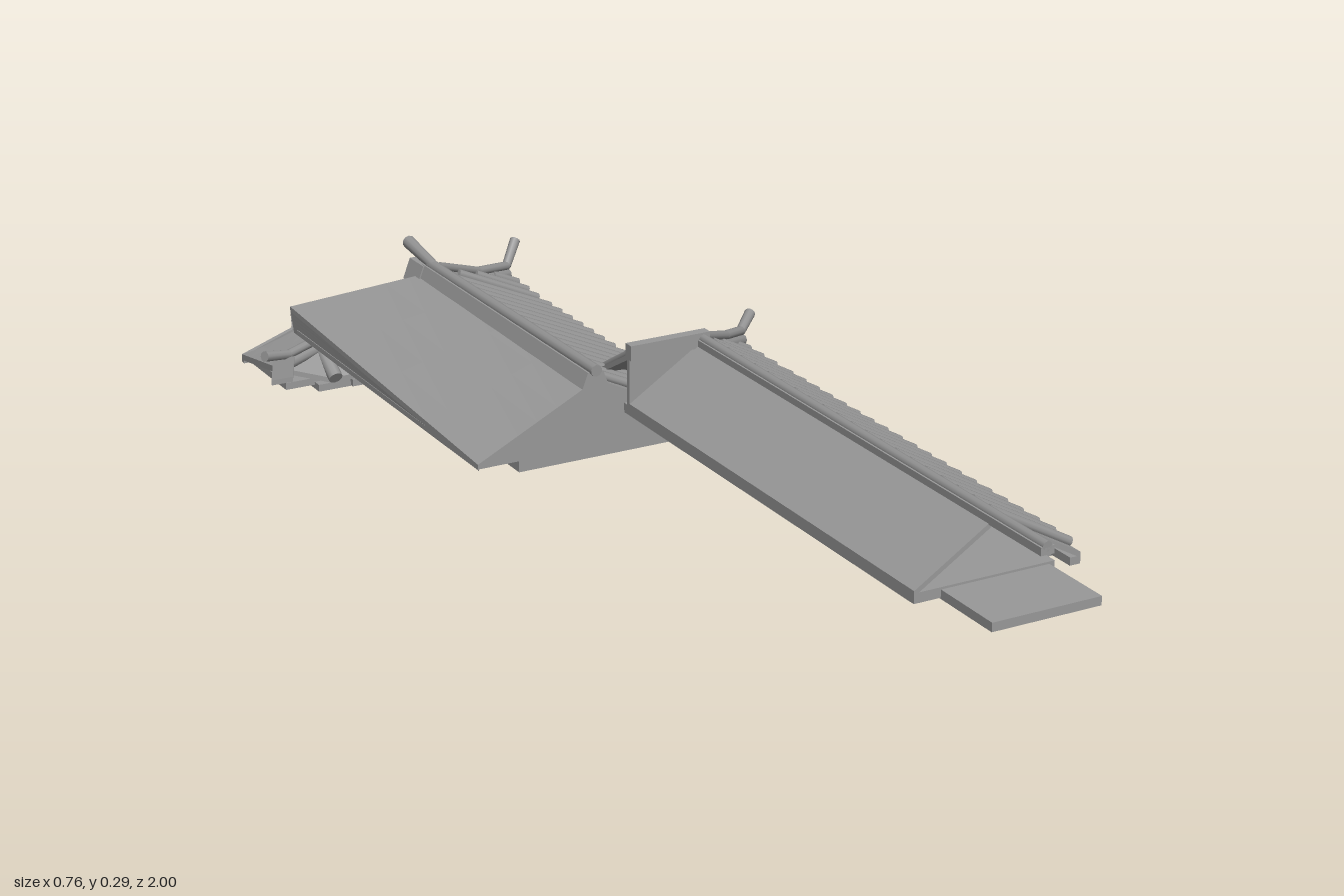
import * as THREE from 'three';

const mat = new THREE.MeshStandardMaterial({ color: 0x999999, side: THREE.DoubleSide, flatShading: true });
const roundMat = new THREE.MeshStandardMaterial({ color: 0x939393 });
const V = (p) => new THREE.Vector3(...p);
const mix = (a, b, t) => a.map((v, i) => v + (b[i] - v) * t);

function add(parent, name, geo, material = mat) {
  const mesh = new THREE.Mesh(geo, material);
  mesh.name = name;
  parent.add(mesh);
  return mesh;
}

// Box given by its lower and upper corners
function box(parent, name, lo, hi) {
  const geo = new THREE.BoxGeometry(...lo.map((v, i) => hi[i] - v));
  geo.translate(...mix(lo, hi, 0.5));
  add(parent, name, geo);
}

// Thin solid panel between a top edge a-b and a lower edge c-d
function panel(parent, name, a, b, c, d, thick = 0.01, sag = 0) {
  const geo = new THREE.BoxGeometry(1, 1, 1, 4, 1, 6);
  const pos = geo.attributes.position;
  for (let i = 0; i < pos.count; i++) {
    const u = pos.getX(i) + 0.5, v = pos.getZ(i) + 0.5;
    const p = mix(mix(a, b, u), mix(c, d, u), v);
    pos.setXYZ(i, p[0], p[1] + (pos.getY(i) - 0.5) * thick - sag * 4 * v * (1 - v), p[2]);
  }
  geo.computeVertexNormals();
  add(parent, name, geo);
}

// Capped round bar from a to b
function bar(parent, name, a, b, r, r2 = r) {
  const dir = V(b).sub(V(a));
  const mesh = add(parent, name, new THREE.CylinderGeometry(r2, r, dir.length(), 10), roundMat);
  mesh.position.copy(V(mix(a, b, 0.5)));
  mesh.quaternion.setFromUnitVectors(new THREE.Vector3(0, 1, 0), dir.normalize());
}

// Tile rows that run from a top line a-b to an eave line c-d
function tiles(parent, n, a, b, c, d, r = 0.009) {
  const rows = new THREE.Group();
  rows.name = 'tileRows';
  for (let i = 0; i < n; i++) {
    const t = (i + 0.5) / n;
    bar(rows, 'tileRow', mix(a, b, t), mix(c, d, t), r);
  }
  parent.add(rows);
}

// Hip ridge: deep beam with a round cap and an upturned horn
function hip(parent, points, horn, r = 0.009) {
  const g = new THREE.Group();
  g.name = 'hipRidge';
  const low = (p) => [p[0], p[1] - 0.018, p[2]];
  for (let i = 0; i < points.length - 1; i++) {
    const [a, b] = [points[i], points[i + 1]];
    bar(g, 'hipCap', a, b, r);
    bar(g, 'hipBeam', low(a), low(b), r * 1.4);
  }
  bar(g, 'horn', points[points.length - 1], horn, r, r * 1.15);
  parent.add(g);
}

// Upright wall with its outline in x and y
function wall(parent, name, outline, z, depth = 0.01) {
  const shape = new THREE.Shape(outline.map((p) => new THREE.Vector2(...p)));
  add(parent, name, new THREE.ExtrudeGeometry(shape, { depth, bevelEnabled: false }));
  parent.children.at(-1).position.z = z;
}

// Eave rail carried by short rafters from the slab edge
function eave(parent, x0, x1, y, z0, z1, n) {
  box(parent, 'eaveRail', [x1 - 0.02, y, z0], [x1, y + 0.014, z1]);
  for (let i = 0; i < n; i++) {
    const z = z1 - 0.06 - i * 0.086;
    box(parent, 'rafter', [x0, y - 0.003, z - 0.008], [x1, y + 0.014, z + 0.008]);
  }
}

// Long front roof: open gable in front, corner turning left at the back
function frontRoof() {
  const g = new THREE.Group();
  g.name = 'frontRoof';
  box(g, 'eaveSlab', [0.02, 0.158, -0.2], [0.285, 0.176, 0.86]);
  box(g, 'frontSlab', [0.07, 0.156, 0.8], [0.275, 0.172, 1]);
  box(g, 'lowerSlab', [0.07, 0.14, -0.21], [0.275, 0.158, 0.05]);
  panel(g, 'leftSlope', [0.165, 0.272, 0.86], [0.165, 0.272, -0.06], [0.02, 0.18, 0.86], [0.02, 0.18, -0.06]);
  const top = [0.17, 0.272, -0.06], corner = [0.335, 0.185, -0.22];
  panel(g, 'rightSlope', [0.17, 0.272, 0.86], top, [0.335, 0.18, 0.86], corner);
  panel(g, 'backSlope', [0.02, 0.272, -0.06], top, [0.02, 0.182, -0.22], corner);
  wall(g, 'backWall', [[0.02, 0.17], [0.17, 0.27], [0.17, 0.29], [0.02, 0.29]], -0.065);
  tiles(g, 20, [0.175, 0.274, 0.85], [0.175, 0.274, -0.05], [0.335, 0.186, 0.85], [0.335, 0.186, -0.05]);
  tiles(g, 3, [0.18, 0.268, -0.06], [0.31, 0.2, -0.19], [0.335, 0.186, -0.06], [0.335, 0.188, -0.2]);
  tiles(g, 3, [0.025, 0.274, -0.07], [0.165, 0.274, -0.07], [0.025, 0.186, -0.22], [0.165, 0.186, -0.22]);
  tiles(g, 3, [0.175, 0.268, -0.07], [0.31, 0.2, -0.19], [0.175, 0.186, -0.22], [0.32, 0.188, -0.22]);
  // Ridges
  box(g, 'ridge', [0.155, 0.264, -0.07], [0.18, 0.278, 1]);
  bar(g, 'ridgeCap', [0.167, 0.278, -0.06], [0.167, 0.278, 1], 0.009);
  box(g, 'sideRidge', [0.02, 0.262, -0.07], [0.18, 0.29, -0.05]);
  hip(g, [[0.17, 0.28, -0.06], [0.27, 0.235, -0.15], [0.335, 0.215, -0.205]], [0.375, 0.232, -0.24]);
  panel(g, 'cornerPlate', [0.325, 0.21, -0.2], [0.352, 0.21, -0.222], [0.318, 0.168, -0.19], [0.345, 0.168, -0.212]);
  eave(g, 0.275, 0.335, 0.16, -0.21, 0.86, 12);
  return g;
}

// Middle roof: broad plain left slope, tiled right slope, hip at the back
function middleRoof() {
  const g = new THREE.Group();
  g.name = 'middleRoof';
  const end = [-0.035, 0.23, -0.74], corner = [0.195, 0.135, -0.88];
  const rise = [-0.27, 0.153, -0.89], low = [-0.27, 0.114, -0.075];
  panel(g, 'leftSlope', [-0.035, 0.23, -0.075], end, low, rise);
  panel(g, 'rightSlope', [-0.035, 0.23, -0.075], end, [0.195, 0.118, -0.075], corner);
  panel(g, 'backSlope', end, end, rise, corner);
  panel(g, 'leftEave', low, rise, [-0.268, 0.108, -0.075], [-0.268, 0.108, -0.88], 0.006);
  panel(g, 'backEave', rise, [0.18, 0.13, -0.875], [-0.27, 0.108, -0.885], [0.17, 0.108, -0.865], 0.006);
  wall(g, 'frontGable', [[-0.27, 0.105], [0.19, 0.105], [0.19, 0.118], [-0.035, 0.225], [-0.27, 0.112]], -0.085);
  box(g, 'eaveSlab', [-0.27, 0.104, -0.86], [0.14, 0.114, -0.08]);
  box(g, 'lowerSlab', [-0.19, 0.084, -0.82], [0.12, 0.106, -0.075]);
  tiles(g, 15, [-0.02, 0.228, -0.08], [-0.02, 0.228, -0.73], [0.2, 0.125, -0.08], [0.2, 0.13, -0.73]);
  tiles(g, 3, [0.0, 0.222, -0.74], [0.17, 0.152, -0.86], [0.2, 0.13, -0.74], [0.2, 0.138, -0.87]);
  // Ridge and its raised end
  wall(g, 'ridge', [[-0.065, 0.212], [-0.01, 0.212], [-0.022, 0.245], [-0.052, 0.245]], -0.75, 0.675);
  bar(g, 'ridgeCap', [-0.038, 0.248, -0.07], [-0.038, 0.245, -0.74], 0.011);
  bar(g, 'ridgeHorn', [-0.038, 0.245, -0.72], [-0.038, 0.262, -0.84], 0.01, 0.013);
  wall(g, 'ridgeEnd', [[-0.07, 0.205], [-0.005, 0.205], [-0.022, 0.244], [-0.055, 0.244]], -0.8, 0.06);
  hip(g, [[-0.02, 0.238, -0.74], [0.1, 0.185, -0.82], [0.19, 0.165, -0.875]], [0.225, 0.205, -0.905]);
  eave(g, 0.12, 0.193, 0.092, -0.86, -0.075, 9);
  return g;
}

// Lowest roof: ridge runs to the back, tiled slope faces the front
function lowerRoof() {
  const g = new THREE.Group();
  g.name = 'lowerRoof';
  const peak = [-0.095, 0.115, -0.935], back = [-0.095, 0.115, -1];
  const left = [-0.34, 0.07, -0.8], right = [0.155, 0.07, -0.8];
  panel(g, 'leftSlope', peak, back, left, [-0.33, 0.03, -1], 0.012, 0.008);
  panel(g, 'rightSlope', peak, back, right, [0.14, 0.03, -1], 0.012, 0.008);
  // Front slope dips between its upturned corners
  const midL = [-0.23, 0.03, -0.795], midR = [0.05, 0.03, -0.795];
  panel(g, 'frontSlope', peak, peak, midL, midR);
  panel(g, 'frontCornerLeft', peak, peak, left, midL);
  panel(g, 'frontCornerRight', peak, peak, midR, right);
  wall(g, 'backWall', [[-0.33, 0.014], [0.13, 0.014], [0.14, 0.03], [-0.095, 0.112], [-0.33, 0.03]], -1);
  box(g, 'baseSlab', [-0.25, 0, -1], [0.125, 0.014, -0.81]);
  box(g, 'eaveSlab', [-0.31, 0.008, -1], [0.135, 0.022, -0.83]);
  // Front rows run straight down; side rows show only near the eave
  for (const x of [-0.225, -0.158, -0.09, -0.022, 0.05])
    bar(g, 'tileRow', [x, 0.085, -0.87], [x, 0.032, -0.785], 0.014);
  tiles(g, 4, [0.1, 0.042, -1], [0.11, 0.075, -0.83], [0.15, 0.032, -1], [0.155, 0.06, -0.82], 0.01);
  // Ridges and upturned corners
  bar(g, 'ridgeCap', [-0.095, 0.112, -1], peak, 0.007);
  hip(g, [peak, [-0.2, 0.092, -0.87], [-0.31, 0.088, -0.81]], [-0.37, 0.102, -0.785]);
  hip(g, [peak, [0.03, 0.092, -0.87], [0.13, 0.088, -0.81]], [0.18, 0.1, -0.79]);
  for (const [x, s] of [[-0.325, -1], [0.14, 1]])
    panel(g, 'cornerPlate', [x - 0.022, 0.086, -0.8], [x + 0.022, 0.086, -0.8],
      [x - 0.022 + s * 0.006, 0.046, -0.797], [x + 0.022 + s * 0.006, 0.046, -0.797]);
  for (const x of [-0.17, -0.025]) box(g, 'rafter', [x - 0.013, 0.002, -0.83], [x + 0.013, 0.016, -0.8]);
  return g;
}

export function createModel() {
  const model = new THREE.Group();
  model.name = 'tieredRoof';
  model.add(frontRoof(), middleRoof(), lowerRoof());
  return model;
}
